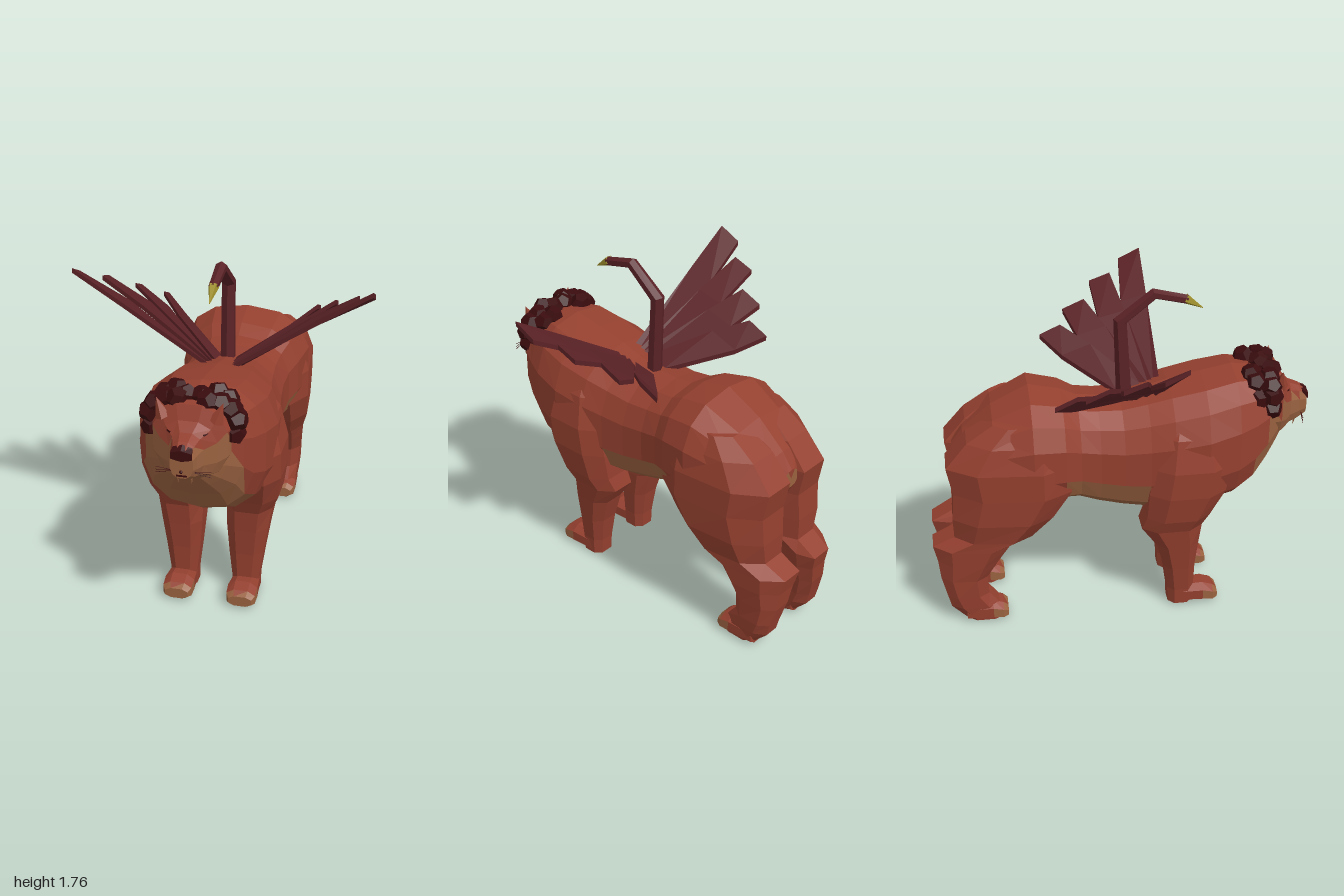
import * as THREE from 'three';

const mat = (name, color) => Object.assign(new THREE.MeshStandardMaterial({ color, flatShading: true }), { name });

export function createModel() {
  const fur = mat('russet fur', 0x94402f);
  const tan = mat('tan fur', 0x9a6240);
  const maroon = mat('maroon feathers', 0x5a2226);
  const dark = mat('dark mane', 0x3a0c0e);
  const gold = mat('gold sting', 0xa0902c);
  const root = new THREE.Group();
  root.name = 'wingedLion';
  const V = (x, y, z) => new THREE.Vector3(x, y, z);

  function add(name, geo, material, parent = root) {
    const m = new THREE.Mesh(geo, material);
    m.name = name;
    parent.add(m);
    return m;
  }

  // Skin a list of rings with closed ends; faces chosen by isTan form a second material group
  function loft(name, rings, material, isTan, flip = false, parent = root) {
    const parts = [[], []];
    const tri = (a, b, c) => {
      const m = a.clone().add(b).add(c).divideScalar(3);
      const out = parts[isTan && isTan(m) ? 1 : 0];
      for (const p of flip ? [a, c, b] : [a, b, c]) out.push(p.x, p.y, p.z);
    };
    const n = rings[0].length;
    const mid = r => r.reduce((s, p) => s.add(p), V(0, 0, 0)).divideScalar(n);
    const first = rings[0], last = rings[rings.length - 1];
    const c0 = mid(first), c1 = mid(last);
    for (let j = 0; j < n; j++) {
      const k = (j + 1) % n;
      for (let i = 0; i + 1 < rings.length; i++) {
        const A = rings[i], B = rings[i + 1];
        tri(A[j], A[k], B[k]);
        tri(A[j], B[k], B[j]);
      }
      tri(c0, first[k], first[j]);
      tri(c1, last[j], last[k]);
    }
    const g = new THREE.BufferGeometry();
    g.setAttribute('position', new THREE.Float32BufferAttribute(parts.flat(), 3));
    g.addGroup(0, parts[0].length / 3, 0);
    g.addGroup(parts[0].length / 3, parts[1].length / 3, 1);
    g.computeVertexNormals();
    return add(name, g, isTan ? [material, tan] : material, parent);
  }

  // Boxy oval: f receives two numbers from -1 to 1
  const oval = (n, p, f) => Array.from({ length: n }, (_, i) => {
    const t = (i + 0.5) / n * Math.PI * 2, c = Math.cos(t), s = Math.sin(t);
    return f(Math.sign(c) * Math.abs(c) ** p, Math.sign(s) * Math.abs(s) ** p);
  });
  // Ring across z: [z, top, bottom, half width]
  const zRing = (n, cx = 0) => ([z, t, b, w]) => oval(n, 0.8, (c, s) => V(cx + w * c, (t + b) / 2 + (t - b) / 2 * s, z));
  // Ring across y: [y, x, z, half width, half depth, inward pull of the rear]
  const yRing = side => ([y, x, z, w, d, pull = 0]) =>
    oval(8, 0.75, (c, s) => V(side * (x - pull * Math.max(0, s)) + w * c, y, z - d * s));

  // Torso with pale belly, chest and rump patch
  loft('torso', [
    [-0.86, 0.98, 0.88, 0.05], [-0.8, 1.06, 0.78, 0.19], [-0.65, 1.19, 0.72, 0.3], [-0.46, 1.285, 0.67, 0.345],
    [-0.3, 1.25, 0.68, 0.315], [-0.22, 1.21, 0.67, 0.28], [-0.12, 1.2, 0.63, 0.27], [0, 1.2, 0.6, 0.28],
    [0.13, 1.23, 0.58, 0.3], [0.25, 1.265, 0.58, 0.33], [0.42, 1.3, 0.6, 0.345], [0.58, 1.33, 0.63, 0.315],
    [0.67, 1.32, 0.69, 0.275], [0.74, 1.3, 0.8, 0.24], [0.8, 1.25, 0.88, 0.17], [0.85, 1.2, 0.95, 0.1],
  ].map(zRing(14)), fur, m =>
    (m.z > -0.38 && m.z < 0.14 && m.y < 0.84) || (m.z < -0.85 && m.y < 0.96) ||
    (m.z > 0.56 && Math.abs(m.x) < 0.235 && m.y < 0.71 + (m.z - 0.58) * 1.9));

  // Head and muzzle
  loft('head', [
    [0.6, 1.3, 1.0, 0.19], [0.74, 1.32, 0.95, 0.205], [0.82, 1.32, 0.94, 0.18], [0.85, 1.25, 0.95, 0.14],
    [0.89, 1.21, 0.97, 0.085], [0.94, 1.19, 0.99, 0.065], [0.98, 1.165, 1.02, 0.055],
  ].map(zRing(12)), fur, m => m.z > 0.74 && m.y < 1.15);
  loft('nose', [[0.955, 1.182, 1.115, 0.052], [0.986, 1.165, 1.11, 0.056]].map(zRing(6)), dark);
  add('mouth', new THREE.BoxGeometry(0.05, 0.008, 0.006), dark).position.set(0, 1.035, 0.98);
  add('lipBead', new THREE.IcosahedronGeometry(0.009), dark).position.set(0, 1.06, 0.991);

  // Tapered round bar between two points
  function rod(name, a, b, r0, r1, n, material) {
    const m = add(name, new THREE.CylinderGeometry(r1, r0, a.distanceTo(b), n), material);
    m.position.copy(a).add(b).multiplyScalar(0.5);
    m.quaternion.setFromUnitVectors(V(0, 1, 0), b.clone().sub(a).normalize());
  }

  // Mane: an arc of faceted tufts round the head
  const tufts = [[0.195, 1.16, 0.755], [0.205, 1.23, 0.755], [0.18, 1.275, 0.75], [0.13, 1.3, 0.75], [0.07, 1.315, 0.77],
    [0.185, 1.21, 0.69], [0.15, 1.29, 0.68], [0.1, 1.31, 0.665], [0.035, 1.315, 0.73]];
  const mane = new THREE.Group();
  mane.name = 'mane';
  root.add(mane);

  for (const side of [1, -1]) {
    tufts.forEach(([x, y, z], i) => {
      const t = add('maneTuft', new THREE.DodecahedronGeometry(0.057), dark, mane);
      t.position.set(side * x, y, z);
      t.rotation.set(i, 0, side * i * 0.7);
    });

    // Face details
    const ear = add('ear', new THREE.ConeGeometry(0.04, 0.1, 5), fur);
    ear.position.set(side * 0.14, 1.29, 0.815);
    ear.rotation.z = -side * 0.35;
    const eye = add('eye', new THREE.BoxGeometry(0.025, 0.008, 0.008), dark);
    eye.position.set(side * 0.085, 1.195, 0.866);
    eye.rotation.set(-0.3, side * 0.6, side * 0.3);
    rod('fang', V(side * 0.032, 1.02, 0.93), V(side * 0.032, 0.965, 0.92), 0.01, 0.001, 4, tan);
    for (const y of [1.02, 1.035, 1.05])
      rod('whisker', V(side * 0.04, 1.045, 0.955), V(side * 0.13, y, 0.945), 0.0015, 0.0015, 3, dark);

    // Legs, listed from the ground up
    loft('frontLeg', [
      [0.01, 0.165, 0.31, 0.072, 0.07], [0.1, 0.165, 0.31, 0.075, 0.075], [0.25, 0.167, 0.3, 0.095, 0.088],
      [0.4, 0.172, 0.285, 0.113, 0.118], [0.52, 0.18, 0.25, 0.125, 0.168], [0.6, 0.198, 0.28, 0.142, 0.175],
      [0.75, 0.215, 0.32, 0.148, 0.21], [0.9, 0.218, 0.34, 0.147, 0.21], [1.07, 0.2, 0.34, 0.125, 0.17],
      [1.15, 0.17, 0.34, 0.1, 0.13],
    ].map(yRing(side)), fur);
    loft('hindLeg', [
      [0.01, 0.165, -0.74, 0.07, 0.1], [0.1, 0.165, -0.79, 0.08, 0.135], [0.17, 0.165, -0.825, 0.085, 0.115],
      [0.28, 0.167, -0.84, 0.093, 0.128, 0.02], [0.38, 0.17, -0.815, 0.108, 0.165, 0.04], [0.47, 0.172, -0.795, 0.118, 0.208, 0.055],
      [0.53, 0.178, -0.68, 0.13, 0.21, 0.05], [0.65, 0.188, -0.625, 0.155, 0.27, 0.05], [0.8, 0.192, -0.57, 0.165, 0.315, 0.055],
      [0.95, 0.192, -0.58, 0.165, 0.335, 0.06], [1.08, 0.17, -0.54, 0.15, 0.26, 0.04], [1.17, 0.14, -0.5, 0.12, 0.16],
    ].map(yRing(side)), fur);
    for (const [name, z] of [['frontPaw', 0.51], ['hindPaw', -0.62]])
      loft(name, [[z - 0.22, 0.11, 0.0, 0.07], [z - 0.08, 0.12, 0.0, 0.082], [z - 0.025, 0.1, 0.0, 0.08], [z, 0.075, 0.015, 0.065]]
        .map(zRing(8, side * 0.168)), fur, m => m.z > z - 0.07 && m.y < 0.085);

    // Wing feathers as sections of [x, back y, back z, front y, front z]: root, widest part, tip
    const wing = new THREE.Group();
    wing.name = side > 0 ? 'leftWing' : 'rightWing';
    root.add(wing);
    for (const sections of [
      [[0.04, 1.21, 0.19, 1.23, 0.22], [0.49, 1.485, 0.085, 1.525, 0.22], [0.74, 1.63, 0.106, 1.685, 0.22]],
      [[0.04, 1.21, 0.165, 1.225, 0.185], [0.42, 1.43, -0.045, 1.465, 0.095], [0.645, 1.55, -0.065, 1.59, 0.045]],
      [[0.04, 1.2, 0.13, 1.22, 0.16], [0.36, 1.365, -0.165, 1.41, -0.015], [0.52, 1.45, -0.225, 1.5, -0.11]],
      [[0.04, 1.19, 0.0, 1.215, 0.125], [0.29, 1.29, -0.255, 1.345, -0.105], [0.41, 1.36, -0.36, 1.41, -0.25]],
    ])
      loft('feather', sections.map(([x, yb, zb, yf, zf]) => [[yb, zb], [yf, zf], [yf - 0.025, zf], [yb - 0.025, zb]]
        .map(([y, z]) => V(side * x, y, z))), maroon, null, side < 0, wing);
  }

  // Arched tail with a sting: [y, z, lean, radius]
  loft('tail', [[1.17, 0.03, 0, 0.04], [1.6, 0.01, 0.35, 0.036], [1.735, 0.18, 1.25, 0.03], [1.695, 0.345, 1.9, 0.024]]
    .map(([y, z, a, r]) => oval(6, 1, (c, s) => V(r * c, y + r * s * Math.sin(a), z - r * s * Math.cos(a)))), maroon);
  rod('sting', V(0, 1.7, 0.335), V(0, 1.645, 0.425), 0.027, 0.002, 5, gold);

  return root;
}
